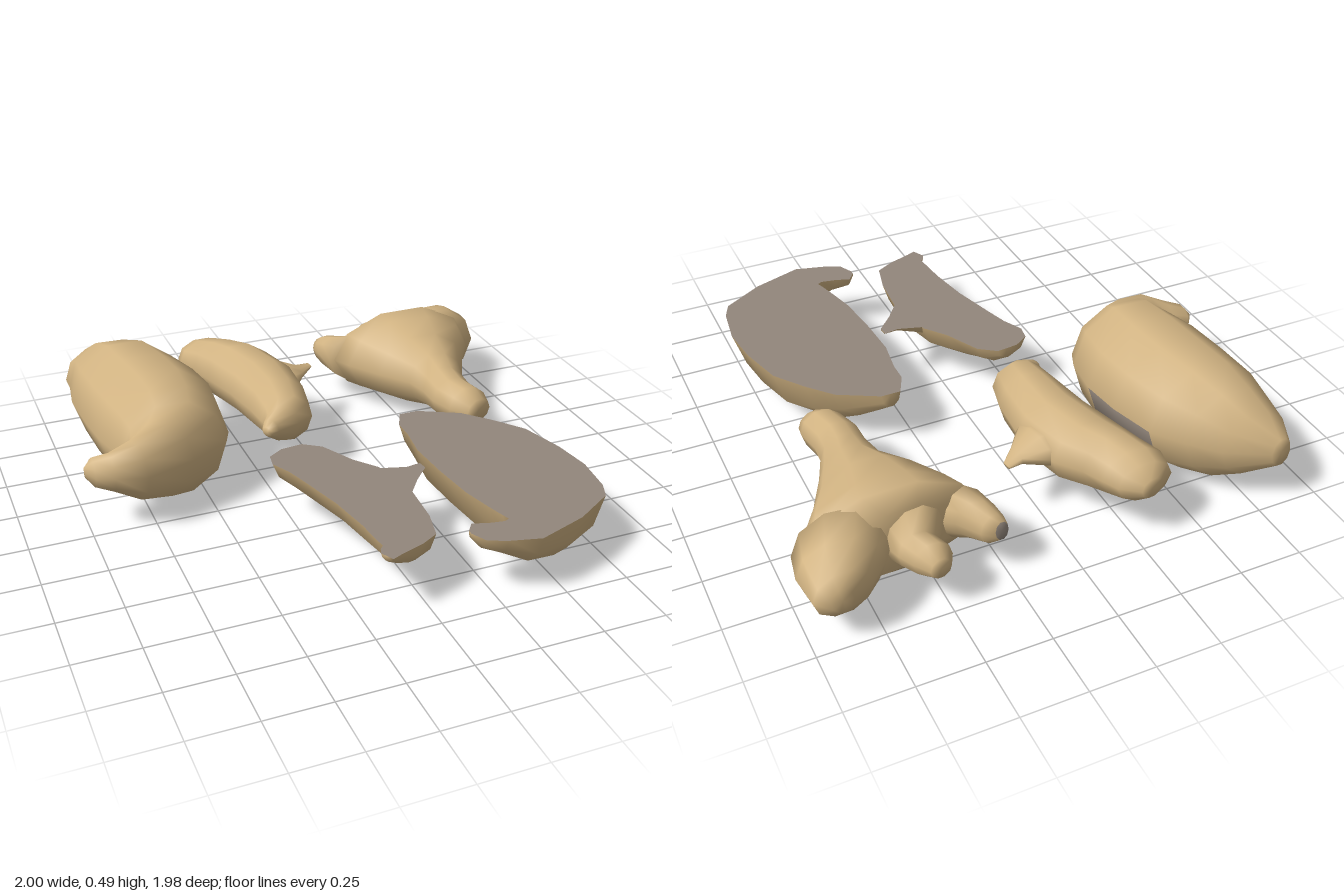
import * as THREE from 'three';

const shell = new THREE.MeshStandardMaterial({ color: 0xd2b483 });
shell.name = 'tan shell';
const cut = new THREE.MeshStandardMaterial({ color: 0x93877c });
cut.name = 'grey cut face';

const SIDES = 10;

// Loft of ten-sided ovals. Each row: left x, left z, right x, right z, half height.
// half: build only the lower half. isCut(ring, side): grey faces; ring = rows.length - 1 is the end fan.
function loft(rows, half = false, isCut = () => false) {
  const pos = [], faces = [[], []];
  const first = half ? SIDES / 2 : 0;
  const count = half ? SIDES / 2 + 1 : SIDES;
  for (const [ax, az, bx, bz, h] of rows) {
    for (let k = 0; k < count; k++) {
      const a = (first + k) / SIDES * Math.PI * 2, c = Math.cos(a) / 2;
      pos.push((ax + bx) / 2 + (bx - ax) * c, h / 0.951 * Math.sin(a), (az + bz) / 2 + (bz - az) * c);
    }
  }
  const last = rows.length - 1;
  for (const r of [rows[0], rows[last]]) pos.push((r[0] + r[2]) / 2, 0, (r[1] + r[3]) / 2);
  const start = rows.length * count, end = start + 1;
  const quads = half ? count - 1 : count;
  for (let k = 0; k < quads; k++) {
    const n = (k + 1) % count;
    for (let i = 0; i < last; i++) {
      const p = i * count, q = p + count;
      faces[isCut(i, k) ? 1 : 0].push(p + k, p + n, q + n, p + k, q + n, q + k);
    }
    faces[0].push(start, n, k);
    faces[isCut(last, k) ? 1 : 0].push(end, last * count + k, last * count + n);
  }
  const g = new THREE.BufferGeometry();
  g.setAttribute('position', new THREE.Float32BufferAttribute(pos, 3));
  g.setIndex([...faces[0], ...faces[1]]);
  g.addGroup(0, faces[0].length, 0);
  if (faces[1].length) g.addGroup(faces[0].length, faces[1].length, 1);
  g.computeVertexNormals();
  return g;
}

// Flat cut face bounded by both rails of a loft
function capOf(rows) {
  const left = rows.map(r => new THREE.Vector2(r[0], -r[1]));
  const right = rows.map(r => new THREE.Vector2(r[2], -r[3])).reverse();
  return new THREE.ShapeGeometry(new THREE.Shape([...left, ...right])).rotateX(-Math.PI / 2);
}

// Large kernel with a hooked tail
const kernel = [
  [-0.86, -0.985, -0.78, -0.985, 0.06],
  [-0.90, -0.90, -0.62, -0.90, 0.13],
  [-0.90, -0.82, -0.53, -0.80, 0.19],
  [-0.92, -0.68, -0.44, -0.68, 0.23],
  [-0.91, -0.50, -0.39, -0.50, 0.24],
  [-0.89, -0.32, -0.37, -0.34, 0.245],
  [-0.86, -0.20, -0.39, -0.18, 0.235],
  [-0.84, -0.13, -0.42, -0.11, 0.20],
  [-0.83, -0.10, -0.58, -0.01, 0.16],
  [-0.85, -0.09, -0.78, 0.06, 0.12],
  [-0.91, -0.10, -0.90, 0.03, 0.075],
  [-0.97, -0.12, -0.97, 0.00, 0.055],
  [-1.00, -0.08, -1.00, -0.06, 0.02],
];

// Slim kernel and the thorn on its side
const slim = [
  [-0.33, -0.96, -0.24, -0.97, 0.04],
  [-0.39, -0.92, -0.17, -0.92, 0.08],
  [-0.40, -0.86, -0.14, -0.86, 0.10],
  [-0.36, -0.78, -0.10, -0.78, 0.12],
  [-0.33, -0.68, -0.03, -0.69, 0.13],
  [-0.28, -0.50, 0.015, -0.50, 0.13],
  [-0.25, -0.33, 0.00, -0.30, 0.125],
  [-0.24, -0.22, -0.03, -0.18, 0.10],
  [-0.235, -0.18, -0.10, -0.14, 0.075],
  [-0.25, -0.165, -0.20, -0.105, 0.04],
  [-0.26, -0.14, -0.235, -0.09, 0.02],
];
const thorn = [
  [-0.10, -0.48, -0.10, -0.70, 0.08],
  [0.01, -0.47, -0.03, -0.68, 0.06],
  [0.07, -0.55, 0.07, -0.65, 0.02],
  [0.135, -0.62, 0.13, -0.66, 0.006],
];

// Root: stem widening into a fan, with three prongs
const fan = [
  [0.40, -0.77, 0.80, -0.82, 0.13],
  [0.29, -0.74, 0.96, -0.75, 0.19],
  [0.33, -0.66, 0.92, -0.66, 0.18],
  [0.42, -0.52, 0.83, -0.52, 0.155],
  [0.51, -0.40, 0.76, -0.38, 0.12],
  [0.53, -0.30, 0.72, -0.28, 0.10],
  [0.53, -0.20, 0.715, -0.20, 0.09],
  [0.56, -0.10, 0.735, -0.10, 0.085],
  [0.61, -0.03, 0.73, -0.06, 0.05],
];
const prongs = {
  rightProng: [
    [0.52, -0.72, 0.27, -0.74, 0.11],
    [0.41, -0.80, 0.25, -0.82, 0.08],
    [0.35, -0.885, 0.245, -0.87, 0.06],
    [0.30, -0.90, 0.25, -0.90, 0.04],
  ],
  middleProng: [
    [0.68, -0.78, 0.42, -0.74, 0.13],
    [0.65, -0.87, 0.50, -0.87, 0.08],
    [0.62, -0.93, 0.475, -0.93, 0.07],
    [0.58, -0.985, 0.50, -0.98, 0.04],
  ],
  leftProng: [
    [0.98, -0.72, 0.62, -0.76, 0.16],
    [1.00, -0.83, 0.69, -0.87, 0.13],
    [0.985, -0.96, 0.77, -0.95, 0.09],
    [0.93, -0.985, 0.85, -0.99, 0.05],
  ],
};

function piece(name, x, y, z, meshes) {
  const g = new THREE.Group();
  g.name = name;
  g.position.set(x, y, z);
  for (const [part, geometry, material] of meshes) {
    const m = new THREE.Mesh(geometry, material);
    m.name = part;
    g.add(m);
  }
  return g;
}

export function createModel() {
  const model = new THREE.Group();
  model.name = 'rootAndKernels';
  const both = [shell, cut];
  const scar = (ring, side) => (ring === 3 || ring === 4) && side === SIDES - 1;

  // Whole pieces
  model.add(piece('largeKernel', 0, 0.247, 0, [['kernelBody', loft(kernel, false, scar), both]]));
  model.add(piece('slimKernel', 0, 0.25, 0, [
    ['slimBody', loft(slim), shell],
    ['thorn', loft(thorn), shell],
  ]));

  // Halved pieces with flat cut faces
  model.add(piece('largeKernelHalf', 1.17, 0.25, 0.925, [
    ['halfBody', loft(kernel, true), shell],
    ['cutFace', capOf(kernel), cut],
  ]));
  model.add(piece('slimKernelHalf', 0.085, 0.25, 1.0, [
    ['halfBody', loft(slim, true), shell],
    ['halfThorn', loft(thorn, true), shell],
    ['cutFace', capOf(slim), cut],
    ['thornCutFace', capOf(thorn), cut],
  ]));

  // Pronged root, with a broken grey tip on one prong
  const root = [['fanAndStem', loft(fan), shell]];
  for (const [name, rows] of Object.entries(prongs)) {
    const tip = ring => name === 'rightProng' && ring === rows.length - 1;
    root.push([name, loft(rows, false, tip), both]);
  }
  model.add(piece('prongedRoot', 0, 0.205, 0, root));
  return model;
}
